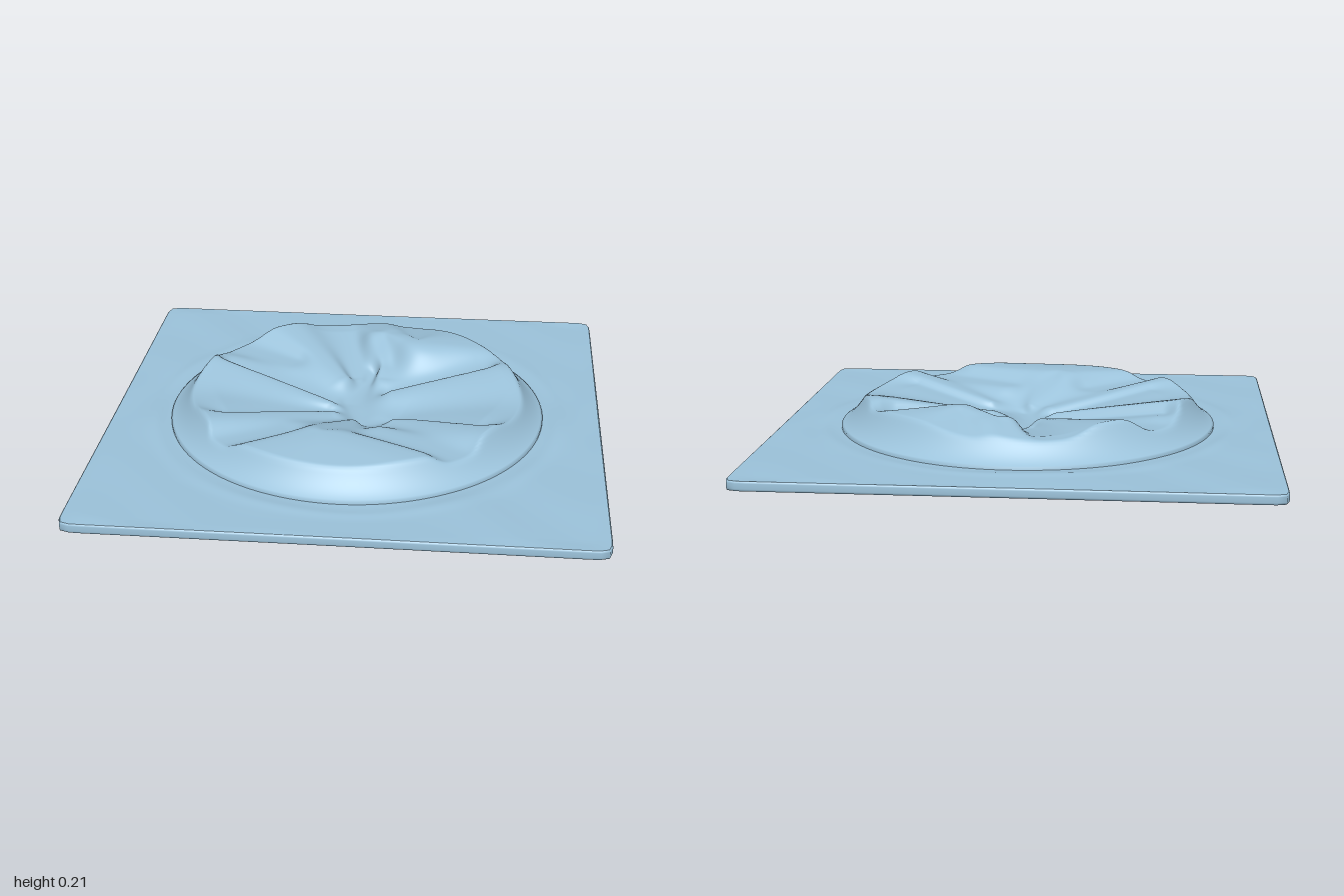
import * as THREE from 'three';

const SEG = 288, RIM = 0.765;

// Fold lines as [x, z, height] to [x, z, height]
const RIDGES = [
  [-0.38, -0.55, 0.205, -0.08, -0.2, 0.12],
  [-0.63, -0.17, 0.205, -0.12, 0.0, 0.1],
  [-0.62, 0.35, 0.195, -0.1, 0.1, 0.1],
  [-0.42, 0.6, 0.17, -0.1, 0.43, 0.19],
  [-0.1, 0.43, 0.19, 0.0, 0.16, 0.1],
  [-0.1, 0.43, 0.19, 0.27, 0.58, 0.18],
  [0.58, 0.36, 0.195, 0.17, 0.15, 0.11],
  [0.58, -0.2, 0.195, 0.15, -0.08, 0.12],
  [0.58, -0.45, 0.18, 0.23, -0.4, 0.215],
  [0.23, -0.4, 0.215, 0.07, -0.5, 0.2],
  [0.07, -0.5, 0.2, 0.08, -0.22, 0.11],
  [-0.05, -0.71, 0.15, 0.07, -0.5, 0.2],
  [0.18, -0.7, 0.15, 0.23, -0.4, 0.21],
];
const VALLEYS = [
  [-0.55, -0.2, 0.15, -0.1, -0.05, 0.07],
  [-0.5, 0.23, 0.15, -0.1, 0.04, 0.07],
  [0.5, 0.25, 0.15, 0.17, 0.1, 0.08],
  [0.5, -0.24, 0.15, 0.12, -0.13, 0.08],
  [-0.1, -0.6, 0.15, -0.02, -0.25, 0.09],
  [0.05, -0.3, 0.08, -0.03, -0.05, 0.06],
  [-0.03, -0.05, 0.06, 0.03, 0.12, 0.06],
  [0.03, 0.12, 0.06, 0.17, 0.12, 0.08],
  [-0.52, -0.38, 0.14, -0.3, -0.3, 0.13],
  [0.42, 0.5, 0.14, 0.12, 0.32, 0.14],
  [-0.5, 0.48, 0.14, -0.25, 0.32, 0.13],
];
const FOLDS = [...RIDGES, ...VALLEYS];

// Cloth height: blend of the nearest fold lines
function foldHeight(x, z) {
  let sum = 0, total = 0;
  for (const [x0, z0, h0, x1, z1, h1] of FOLDS) {
    const dx = x1 - x0, dz = z1 - z0;
    const t = THREE.MathUtils.clamp(((x - x0) * dx + (z - z0) * dz) / (dx * dx + dz * dz), 0, 1);
    const d2 = (x - x0 - t * dx) ** 2 + (z - z0 - t * dz) ** 2 + 0.0002;
    const w = d2 ** -1.5;
    sum += w * (h0 + (h1 - h0) * t);
    total += w;
  }
  return sum / total;
}

// Folded top limited by the sloping outer wall
function domeHeight(x, z) {
  const d = Math.max(0, RIM - Math.hypot(x, z));
  const a = foldHeight(x, z), b = 0.072 + 0.5 * d + 6 * d * d;
  const k = 0.015, h = Math.max(k - Math.abs(a - b), 0) / k;
  return Math.min(a, b) - h * h * k * 0.25;
}

const ripple = (x, z) =>
  0.0022 * Math.sin(9 * x + 5 * z + 2 * Math.sin(4 * z)) + 0.0018 * Math.sin(13 * z - 6 * x + 2 * Math.sin(5 * x));

// Rounded-square outline distance along an angle
const outline = (a) => (Math.abs(Math.cos(a)) ** 60 + Math.abs(Math.sin(a)) ** 60) ** (-1 / 60);

// Surface woven from concentric loops, point(ring, angle) -> [x, y, z]
function loopSurface(rings, point) {
  const pos = [], index = [];
  for (let i = 0; i <= rings; i++)
    for (let j = 0; j < SEG; j++) pos.push(...point(i, (j / SEG) * Math.PI * 2));
  for (let i = 0; i < rings; i++)
    for (let j = 0; j < SEG; j++) {
      const a = i * SEG + j, b = i * SEG + (j + 1) % SEG;
      index.push(a, b, a + SEG, b, b + SEG, a + SEG);
    }
  const g = new THREE.BufferGeometry();
  g.setAttribute('position', new THREE.Float32BufferAttribute(pos, 3));
  g.setIndex(index);
  g.computeVertexNormals();
  return g;
}

export function createModel() {
  const group = new THREE.Group();
  const blue = new THREE.MeshStandardMaterial({ color: 0x9cc3db });
  blue.name = 'pale blue';
  const add = (name, geometry) => {
    const mesh = new THREE.Mesh(geometry, blue);
    mesh.name = name;
    group.add(mesh);
  };

  // Crumpled round dome with a short lip down into the plate
  const N = 90;
  add('crumpledDome', loopSurface(N + 1, (i, a) => {
    const r = Math.max(0.0005, (Math.min(i, N) / N) * RIM);
    const x = r * Math.cos(a), z = r * Math.sin(a);
    return [x, i > N ? 0.05 : domeHeight(x, z), z];
  }));

  // Rippled square border around the dome
  const M = 24;
  const border = (t, a) => {
    const r = THREE.MathUtils.lerp(RIM - 0.01, outline(a) - 0.006, t);
    return [r * Math.cos(a), r * Math.sin(a), r];
  };
  add('squareBorder', loopSurface(M, (i, a) => {
    const t = i / M, [x, z, r] = border(t, a);
    const ring = 0.004 * Math.exp(-(((r - 0.83) / 0.03) ** 2));
    return [x, 0.062 + ring + ripple(x, z) * Math.min(1, 4 * t, 8 * (1 - t)), z];
  }));

  // Rounded outer edge
  const edge = [[0.006, 0.062], [0.002, 0.059], [0, 0.054], [0, 0.034], [0.002, 0.028], [0.006, 0.025]];
  add('outerEdge', loopSurface(edge.length - 1, (i, a) => {
    const r = outline(a) - edge[i][0];
    return [r * Math.cos(a), edge[i][1], r * Math.sin(a)];
  }));

  // Underside with a shallow round bulge and small dents in the middle
  const dents = [[0.02, -0.1], [-0.1, 0.02], [0.04, 0.12], [0.15, 0.1]];
  const U = 60;
  add('underside', loopSurface(U, (i, a) => {
    const t = 1 - i / U, r = Math.max(0.0005, t * (outline(a) - 0.006));
    const x = r * Math.cos(a), z = r * Math.sin(a);
    let y = 0.025 - 0.012 * (1 - THREE.MathUtils.smoothstep(r, 0.76, 0.85));
    y -= 0.009 * (1 - THREE.MathUtils.smoothstep(r, 0.2, 0.78));
    for (const [dx, dz] of dents) y += 0.008 * Math.exp(-((x - dx) ** 2 + (z - dz) ** 2) / 0.0008);
    y += ripple(x, z) * THREE.MathUtils.smoothstep(r, 0.75, 0.85) * Math.min(1, 10 * (1 - t));
    return [x, Math.max(0, y - 0.004 * (1 - THREE.MathUtils.smoothstep(r, 0.1, 0.6))), z];
  }));

  return group;
}
